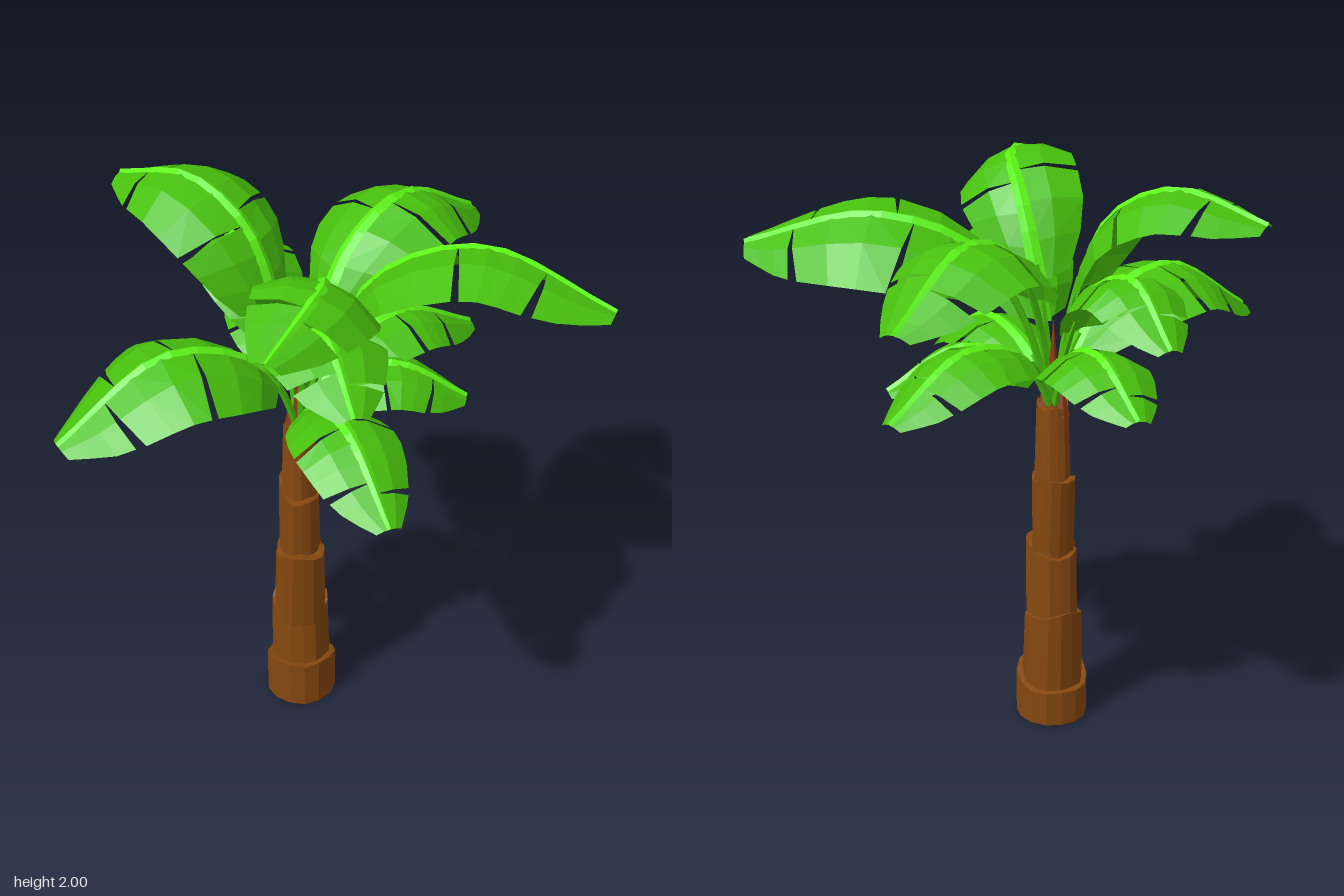
import * as THREE from 'three';

const mat = (color) => new THREE.MeshStandardMaterial({ color, flatShading: true, side: THREE.DoubleSide });
const bark = mat(0x864810);
const shootBark = mat(0x8a3a12);
const green = mat(0x48c00d);
const ribGreen = mat(0x5cf216);

const crown = new THREE.Vector3(-0.085, 1.15, -0.04);

function named(mesh, name) {
  mesh.name = name;
  return mesh;
}

// One sleeve of bark: slanted, uneven top rim that leans off the trunk axis
function barkSleeve([y0, y1, rb, rt, zb, zt, tilt], i) {
  const geo = new THREE.CylinderGeometry(rt, rb, y1 - y0, 14, 1);
  geo.translate(0, (y0 + y1) / 2, 0);
  const p = geo.attributes.position;
  for (let k = 0; k < p.count; k++) {
    const x = p.getX(k), z = p.getZ(k), top = p.getY(k) > (y0 + y1) / 2;
    const a = Math.atan2(z, x);
    const wob = 1 + (i ? 0.035 : 0.01) * Math.sin(a * 5 + i * 2);
    const rim = top ? tilt * z + 0.008 * Math.sin(a * 3 + i) : 0;
    p.setXYZ(k, x * wob - 0.087, p.getY(k) + rim, z * wob + (top ? zt : zb));
  }
  return named(new THREE.Mesh(geo.toNonIndexed(), bark), 'barkSleeve');
}

// Geometry from loose quads
function quadGeometry(quads) {
  const pos = [];
  for (const [a, b, c, d] of quads) for (const v of [a, b, c, a, c, d]) pos.push(v.x, v.y, v.z);
  const geo = new THREE.BufferGeometry();
  geo.setAttribute('position', new THREE.Float32BufferAttribute(pos, 3));
  geo.computeVertexNormals();
  return geo;
}

// Arching rib from the crown over a peak height to the tip, bent sideways
function ribCurve(x, y, z, peak, bend) {
  const dx = x - crown.x, dz = z - crown.z;
  const along = (t, height) => {
    const b = bend * Math.sin(Math.PI * t);
    return new THREE.Vector3(crown.x + dx * t - dz * b, height, crown.z + dz * t + dx * b);
  };
  const rise = peak - crown.y;
  return new THREE.CatmullRomCurve3([
    along(0, crown.y), along(0.1, crown.y + rise * 0.5), along(0.27, crown.y + rise * 0.86),
    along(0.58, peak), along(1, y),
  ], false, 'centripetal');
}

// Half-width of the blade along its length, as a share of the widest point
const outline = [0.4, 0.72, 0.9, 0.98, 1, 0.95, 0.84, 0.62, 0.24];
function bladeWidth(u) {
  const t = u * (outline.length - 1);
  const i = Math.min(Math.floor(t), outline.length - 2);
  return THREE.MathUtils.lerp(outline[i], outline[i + 1], t - i);
}

// A frond: stalk, split blade and raised rib along a curve
function frond([x, y, z, peak, width, bend = 0, roll = 0], start, index) {
  const group = new THREE.Group();
  group.name = 'frond';
  const curve = ribCurve(x, y, z, peak, bend);
  const heading = new THREE.Vector3(x - crown.x, 0, z - crown.z).normalize();

  // Local frame on the rib; u runs 0..1 along the blade
  const frame = (u) => {
    const t = Math.min(1, start + (1 - start) * u);
    const point = curve.getPointAt(t), tan = curve.getTangentAt(t);
    const flat = new THREE.Vector3(tan.x, 0, tan.z).addScaledVector(heading, 0.5).normalize();
    const side = new THREE.Vector3(-flat.z, 0, flat.x).applyAxisAngle(tan, roll);
    const normal = side.clone().cross(tan).normalize();
    return { point, side, normal };
  };
  const bladePoint = (u, f, s) => {
    const { point, side, normal } = frame(u);
    const w = width * bladeWidth(u) * f;
    return point.addScaledVector(side, s * w).addScaledVector(normal, -0.42 * w * f);
  };

  // Blade panels, parted by narrow slits that open towards the edge
  const quads = [];
  const across = [0, 0.5, 1];
  for (const s of [-1, 1]) {
    const shift = 0.03 * s + 0.03 * Math.sin(index * 2.3);
    const cuts = [0, 0.42 + shift, 0.78 - shift, 1];
    for (let c = 0; c < 3; c++) {
      const at = (k, f) => {
        const a = cuts[c] + (c > 0 ? 0.018 * f : 0), b = cuts[c + 1] - (c < 2 ? 0.018 * f : 0);
        const u = a + (b - a) * k / 3;
        return bladePoint(u + 0.05 * f * (1 - u), f, s);
      };
      for (let k = 0; k < 3; k++) {
        for (let j = 0; j < 2; j++) {
          const q = [at(k, across[j]), at(k + 1, across[j]), at(k + 1, across[j + 1]), at(k, across[j + 1])];
          quads.push(s > 0 ? q : q.reverse());
        }
      }
    }
  }
  group.add(named(new THREE.Mesh(quadGeometry(quads), green), 'frondBlade'));

  // Rib: a shallow tent tapering to the tip
  const ribQuads = [];
  const ribPoint = (u, s) => {
    const { point, side, normal } = frame(u);
    const w = 0.03 * (1 - 0.6 * u);
    return point.addScaledVector(side, s * w).addScaledVector(normal, s ? -0.004 : 0.008);
  };
  for (let k = 0; k < 10; k++) {
    for (const s of [-1, 1]) {
      const a = k / 10, b = (k + 1) / 10;
      const q = [ribPoint(a, 0), ribPoint(b, 0), ribPoint(b, s), ribPoint(a, s)];
      ribQuads.push(s > 0 ? q : q.reverse());
    }
  }
  group.add(named(new THREE.Mesh(quadGeometry(ribQuads), ribGreen), 'frondRib'));

  // Stalk
  const stalkPoints = [];
  for (let k = 0; k <= 6; k++) stalkPoints.push(curve.getPointAt((start + 0.05) * k / 6));
  const stalk = new THREE.TubeGeometry(new THREE.CatmullRomCurve3(stalkPoints), 8, 0.013, 5);
  group.add(named(new THREE.Mesh(stalk, green), 'frondStalk'));
  return group;
}

// Fronds by tier: tip x, y, z, peak height, half-width, sideways bend, roll
const highFronds = [
  [0.89, 1.75, 0.28, 1.88, 0.28, -0.1, -0.3],
  [0.58, 1.68, -0.6, 1.87, 0.24],
  [-0.63, 1.91, -0.54, 1.99, 0.24],
  [-0.25, 1.89, 0.67, 1.97, 0.21, -0.18, -0.3],
];
const middleFronds = [
  [-0.28, 1.57, -0.66, 1.72, 0.18, -0.08],
  [0.02, 1.63, 0.6, 1.74, 0.2],
];
const lowFronds = [
  [-0.89, 1.38, 0.28, 1.6, 0.26],
  [0.13, 1.23, 0.64, 1.4, 0.18],
  [0.48, 1.28, 0, 1.42, 0.18],
  [0.56, 1.32, -0.41, 1.48, 0.18],
  [-0.17, 1.36, -0.69, 1.48, 0.18],
];

export function createModel() {
  const model = new THREE.Group();
  model.name = 'palmTree';

  // Trunk sleeves: bottom, top, lower radius, upper radius, lower z, upper z, rim tilt
  const trunk = new THREE.Group();
  trunk.name = 'trunk';
  [
    [0, 0.155, 0.126, 0.126, -0.037, -0.037, 0.27],
    [0.08, 0.4, 0.107, 0.101, -0.037, -0.05, -0.28],
    [0.36, 0.66, 0.092, 0.086, -0.025, 0, 0.22],
    [0.35, 0.645, 0.088, 0.08, -0.05, -0.055, 0],
    [0.62, 0.92, 0.074, 0.07, -0.04, -0.065, -0.2],
    [0.62, 0.905, 0.07, 0.066, -0.025, -0.005, 0],
    [0.88, 1.185, 0.064, 0.055, -0.035, -0.03, 0.15],
  ].forEach((s, i) => trunk.add(barkSleeve(s, i)));
  model.add(trunk);

  // Pointed shoots at the crown
  for (const [dx, dz, h] of [[0, 0, 0.35], [0.025, 0.02, 0.12], [-0.025, -0.015, 0.13]]) {
    const shoot = named(new THREE.Mesh(new THREE.ConeGeometry(0.03, h, 6), shootBark), 'crownShoot');
    shoot.position.set(crown.x + dx, crown.y + h / 2, crown.z + dz);
    model.add(shoot);
  }

  // Fronds, with longer bare stalks on the upper tiers
  highFronds.forEach((f, i) => model.add(frond(f, 0.33, i)));
  middleFronds.forEach((f, i) => model.add(frond(f, 0.3, i + 4)));
  lowFronds.forEach((f, i) => model.add(frond(f, 0.2, i + 6)));
  return model;
}
